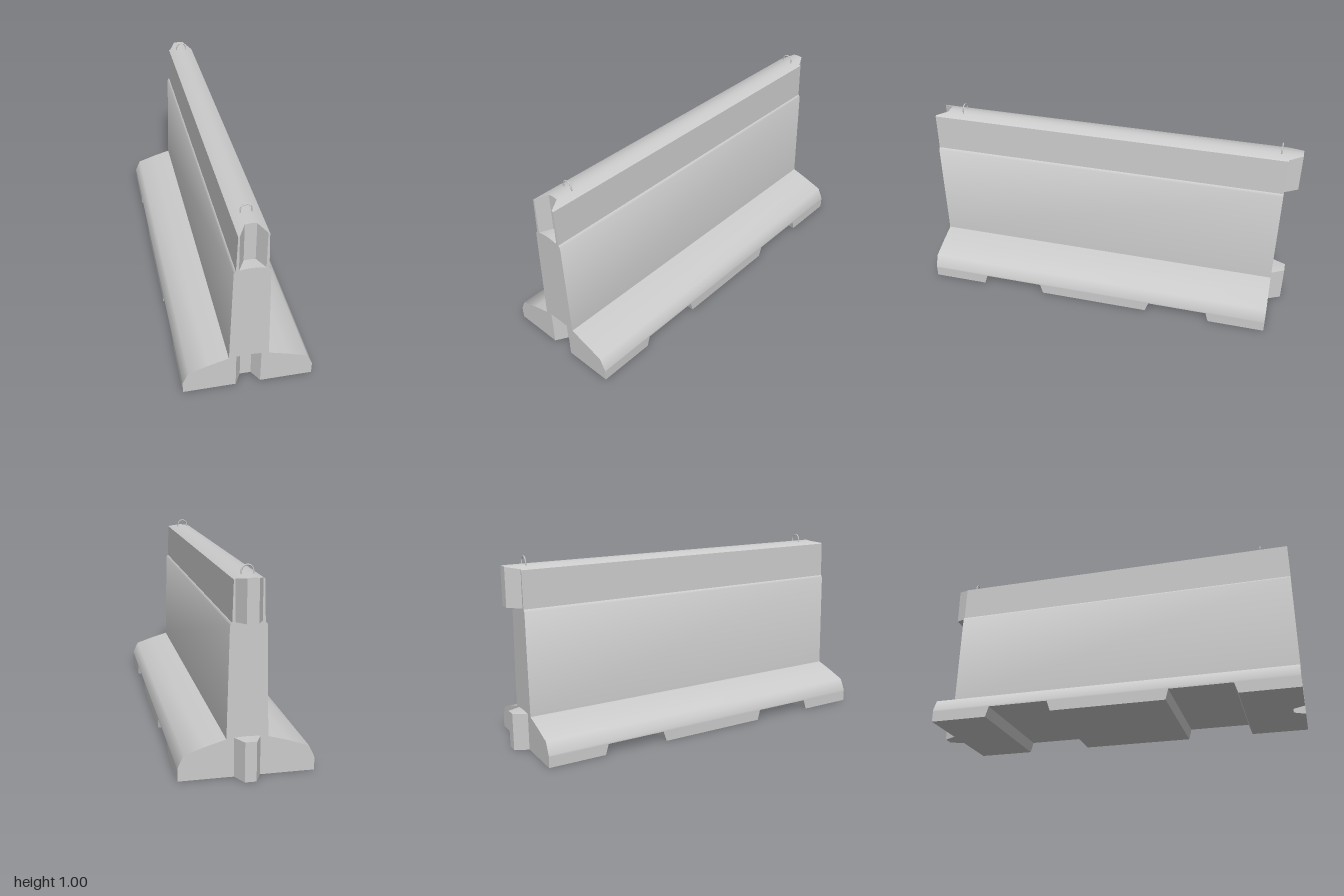
import * as THREE from 'three';
import { toCreasedNormals } from 'three/addons/utils/BufferGeometryUtils.js';

const FRONT = 1, BACK = -0.93;
const material = new THREE.MeshStandardMaterial({ color: 0xcccccc });

// 1 in the flat middle of the joint, falling to 0 at its outer edge
const joint = x => THREE.MathUtils.clamp((0.063 - Math.abs(x)) / 0.035, 0, 1);

// Solid stacked from horizontal levels: y, half width w, front z, back z, and
// bow (rise at the middle). Optional groove in the front, tongue on the back.
function stack(name, levels, groove = false, tongue = false) {
  const position = [], index = [], n = 7;
  for (const { y, w, front = FRONT, back = BACK, bow = 0 } of levels) {
    const columns = [-w, -0.063, -0.028, 0, 0.028, 0.063, w];
    for (const isBack of [false, true]) {
      for (const x of columns) {
        const z = isBack
          ? back - (tongue ? 0.07 * joint(x) : 0)
          : front - (groove ? 0.06 * joint(x) : 0);
        position.push(x, y + bow * (1 - (x / w) ** 2), z);
      }
    }
  }
  const F = (l, i) => l * 2 * n + i, B = (l, i) => F(l, i) + n;
  const quad = (a, b, c, d) => index.push(a, b, c, a, c, d);
  const top = levels.length - 1;
  for (let l = 0; l < top; l++) {
    for (let i = 0; i < n - 1; i++) {
      quad(F(l, i), F(l, i + 1), F(l + 1, i + 1), F(l + 1, i));
      quad(B(l, i + 1), B(l, i), B(l + 1, i), B(l + 1, i + 1));
    }
    quad(F(l, n - 1), B(l, n - 1), B(l + 1, n - 1), F(l + 1, n - 1));
    quad(B(l, 0), F(l, 0), F(l + 1, 0), B(l + 1, 0));
  }
  for (let i = 0; i < n - 1; i++) {
    quad(F(top, i), F(top, i + 1), B(top, i + 1), B(top, i));
    quad(F(0, i + 1), F(0, i), B(0, i), B(0, i + 1));
  }
  const geometry = new THREE.BufferGeometry();
  geometry.setAttribute('position', new THREE.Float32BufferAttribute(position, 3));
  geometry.setIndex(index);
  const mesh = new THREE.Mesh(toCreasedNormals(geometry, 0.85), material);
  mesh.name = name;
  return mesh;
}

// Wire loop standing on the crown
function liftingLoop(name, z) {
  const r = 0.028, points = [new THREE.Vector3(r, 0.94, z)];
  for (let i = 0; i <= 10; i++) {
    const a = Math.PI * i / 10;
    points.push(new THREE.Vector3(r * Math.cos(a), 0.967 + r * Math.sin(a), z));
  }
  points.push(new THREE.Vector3(-r, 0.94, z));
  const mesh = new THREE.Mesh(
    new THREE.TubeGeometry(new THREE.CatmullRomCurve3(points), 32, 0.0035, 8), material);
  mesh.name = name;
  return mesh;
}

export function createModel() {
  const model = new THREE.Group();
  model.name = 'roadBarrier';

  // Three feet, with sloped gaps between them
  const foot = (name, low, high, groove, tongue) => stack(name, [
    { y: 0, w: 0.33, front: low[0], back: low[1] },
    { y: 0.056, w: 0.33, front: high[0], back: high[1] },
  ], groove, tongue);
  model.add(
    foot('frontFoot', [FRONT, 0.698], [FRONT, 0.68], true, false),
    foot('middleFoot', [0.34, -0.265], [0.355, -0.284], false, false),
    foot('rearFoot', [-0.623, BACK], [-0.607, BACK], false, true),
  );

  // Flared base with the lower groove and tongue
  model.add(stack('base', [
    { y: 0.056, w: 0.33 },
    { y: 0.065, w: 0.33 },
    { y: 0.127, w: 0.30 },
    { y: 0.161, w: 0.20 },
    { y: 0.19, w: 0.10, bow: 0.008 },
  ], true, true));

  // Plain wall with a narrow ledge at its top
  model.add(stack('wall', [
    { y: 0.19, w: 0.10, bow: 0.008 },
    { y: 0.73, w: 0.087 },
    { y: 0.742, w: 0.077, bow: 0.01 },
  ]));

  // Upper wall with an arched crown and the upper groove and tongue
  model.add(stack('upperWall', [
    { y: 0.742, w: 0.077, bow: 0.01 },
    { y: 0.937, w: 0.071, bow: 0.02 },
  ], true, true));

  model.add(liftingLoop('frontLiftingLoop', 0.85), liftingLoop('rearLiftingLoop', -0.89));
  return model;
}
